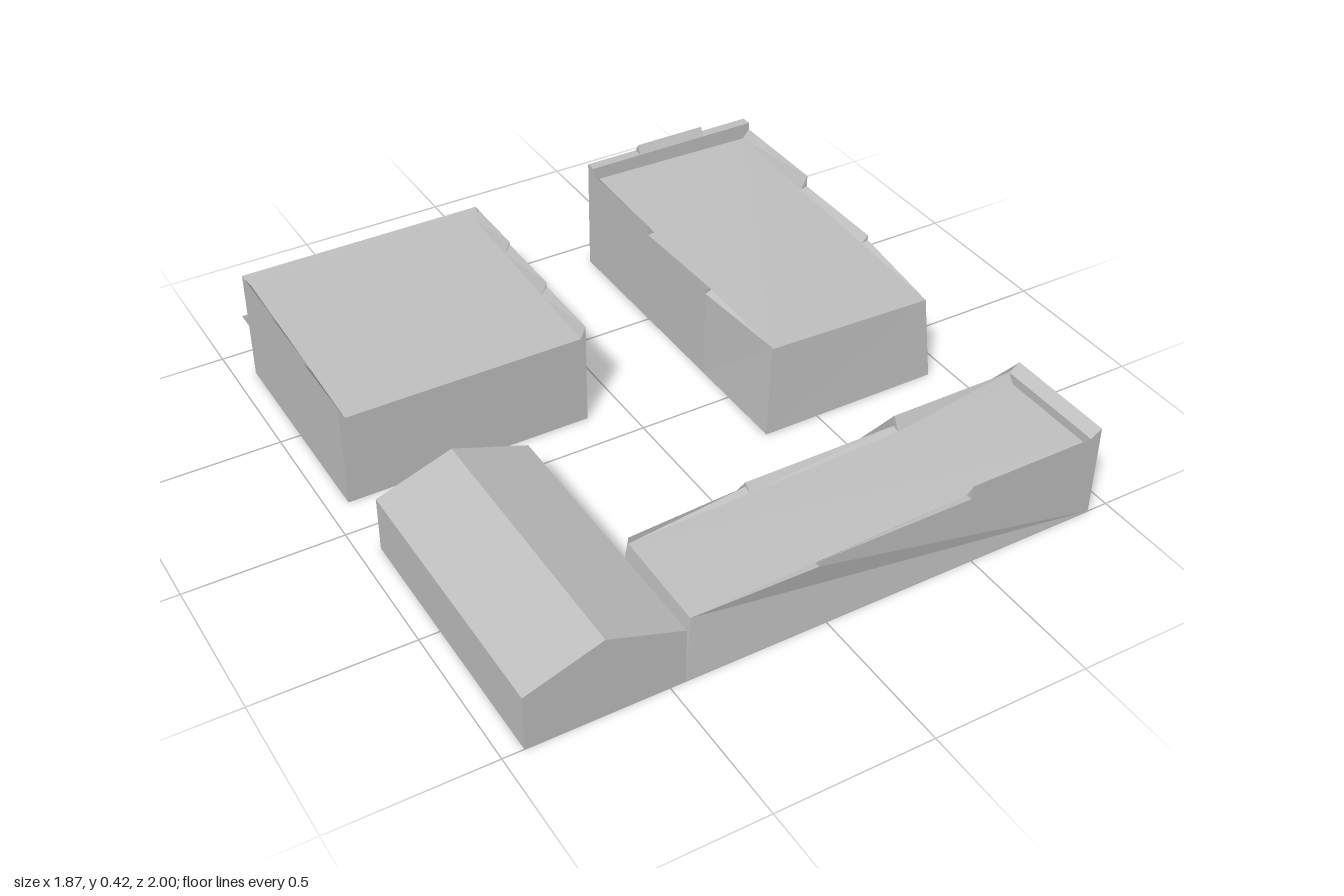
import * as THREE from 'three';

const grey = new THREE.MeshStandardMaterial({ color: 0xc0c0c0, side: THREE.DoubleSide });
grey.name = 'plainGrey';

// Collects flat faces given as fans of corner points
class Faces {
  constructor(map) { this.map = map; this.points = []; }
  add(corners, flip = false) {
    const c = flip ? [...corners].reverse() : corners;
    for (let i = 1; i < c.length - 1; i++) {
      for (const p of [c[0], c[i], c[i + 1]]) this.points.push(...this.map(p));
    }
  }
  mesh(name) {
    const g = new THREE.BufferGeometry();
    g.setAttribute('position', new THREE.Float32BufferAttribute(this.points, 3));
    g.computeVertexNormals();
    const m = new THREE.Mesh(g, grey);
    m.name = name;
    return m;
  }
}

// Block with a sloping roof inside stepped parapets, open underneath.
// Local axes: u runs from the low end to the high end, y up, v across.
function parapetBlock(name, o) {
  const { u0, u1, uIn, w, lean, inset, endTop, endInner } = o;
  const walls = new Faces(o.map), parapet = new Faces(o.map), roof = new Faces(o.map);
  const uTop = u0 + lean;
  const roofY = (s, u) => {
    const [a, b] = s > 0 ? o.roofPlus : o.roofMinus;
    return a + (b - a) * (u - uTop) / (uIn - uTop);
  };
  const rim = (s, u) => [u, roofY(s, u), s * (w - inset)];

  for (const s of [1, -1]) {
    const flip = s < 0;
    const steps = s > 0 ? o.stepsPlus : o.stepsMinus;
    const vFirst = s * (lean ? w - inset : w);
    const base0 = [u0, 0, s * w], base1 = [u1, 0, s * w];
    const tops = [];
    let u = uTop, last = null, baseU = u0;
    for (const [end, ha, hb] of steps) {
      const a = [u, ha, last ? s * w : vFirst], b = [end, hb, s * w];
      // sloping inner face and the triangle that closes each step
      parapet.add([a, b, rim(s, end), rim(s, u)], flip);
      if (last) parapet.add([last, a, rim(s, u)], flip);
      if (!o.fan) {
        const p = [baseU, 0, s * w], q = [end, 0, s * w];
        walls.add([p, q, b, a], flip);
      }
      tops.push(a, b);
      last = b; u = end; baseU = end;
    }
    // side of the high end
    const endA = [uIn, Math.max(endInner, last[1]), s * w], endB = [u1, endTop, s * w];
    if (o.fan) {
      walls.add([base1, endB, endA, ...tops.reverse(), base0], flip);
    } else {
      walls.add([[uIn, 0, s * w], base1, endB, endA], flip);
    }
    parapet.add([last, endA, [uIn, endInner, s * (w - inset)], rim(s, uIn)], flip);
    // corner of the low end
    walls.add([base0, [uTop, steps[0][1], vFirst], rim(s, uTop)], flip);
  }
  // low end wall, high end wall and its coping
  walls.add([[u0, 0, -w], [u0, 0, w], rim(1, uTop), rim(-1, uTop)]);
  walls.add([[u1, 0, w], [u1, 0, -w], [u1, endTop, -w], [u1, endTop, w]]);
  parapet.add([[uIn, endInner, -w], [uIn, endInner, w], [u1, endTop, w], [u1, endTop, -w]]);
  parapet.add([rim(-1, uIn), rim(1, uIn), [uIn, endInner, w - inset], [uIn, endInner, inset - w]]);
  roof.add([rim(-1, uTop), rim(1, uTop), rim(1, uIn), rim(-1, uIn)]);

  const g = new THREE.Group();
  g.name = name;
  g.add(walls.mesh('walls'), parapet.mesh('parapet'), roof.mesh('roof'));
  return g;
}

// Prism with a (z, y) section, running from x0 to x1
function prismX(name, section, x0, x1) {
  const shape = new THREE.Shape(section.map(([z, y]) => new THREE.Vector2(-z, y)));
  const g = new THREE.ExtrudeGeometry(shape, { depth: x1 - x0, bevelEnabled: false });
  g.rotateY(Math.PI / 2).translate(x0, 0, 0);
  const m = new THREE.Mesh(g, grey);
  m.name = name;
  return m;
}

const awning = (x0, x1, zWall, zTip, top, tip) =>
  prismX('awning', [[zWall, 0.15], [zTip, tip - 0.003], [zTip, tip], [zWall, top]], x0, x1);

// Gabled building, open underneath
function gableBuilding() {
  const f = new Faces(p => p);
  const xs = [-0.935, -0.693, -0.45], ys = [0.185, 0.27, 0.185], z0 = 0.105, z1 = 1;
  const front = [[xs[0], 0, z1], [xs[2], 0, z1], [xs[2], ys[2], z1], [xs[1], ys[1], z1], [xs[0], ys[0], z1]];
  const back = front.map(([x, y]) => [x, y, z0]);
  f.add(front);
  f.add(back, true);
  for (let i = 1; i < 5; i++) {
    const j = (i + 1) % 5;
    f.add([front[i], back[i], back[j], front[j]]);
  }
  return f.mesh('gableBuilding');
}

export function createModel() {
  const model = new THREE.Group();
  model.name = 'courtyardBuildings';

  model.add(gableBuilding());

  model.add(parapetBlock('longBuilding', {
    map: ([u, y, v]) => [u, y, v + 0.815],
    u0: -0.45, u1: 0.932, uIn: 0.895, w: 0.185, lean: 0.023, inset: 0.022,
    endTop: 0.308, endInner: 0.285, fan: true,
    roofPlus: [0.2, 0.255], roofMinus: [0.21, 0.255],
    stepsPlus: [[-0.035, 0.2, 0.22], [0.475, 0.24, 0.24], [0.895, 0.285, 0.285]],
    stepsMinus: [[-0.035, 0.232, 0.232], [0.475, 0.248, 0.248], [0.895, 0.285, 0.285]],
  }));

  const sideBuilding = parapetBlock('sideBuilding', {
    map: ([u, y, v]) => [v + 0.622, y, -u],
    u0: -0.22, u1: 0.905, uIn: 0.87, w: 0.31, lean: 0.022, inset: 0.023,
    endTop: 0.39, endInner: 0.39,
    roofPlus: [0.285, 0.335], roofMinus: [0.303, 0.345],
    stepsPlus: [[0.15, 0.285, 0.308], [0.505, 0.325, 0.325], [0.87, 0.365, 0.365]],
    stepsMinus: [[0.15, 0.308, 0.308], [0.505, 0.33, 0.33], [0.87, 0.365, 0.365]],
  });
  const crest = prismX('crest', [[-0.87, 0.389], [-0.903, 0.389], [-0.886, 0.42]], 0.495, 0.745);
  sideBuilding.add(crest, awning(0.375, 0.873, -0.905, -1, 0.187, 0.157));
  model.add(sideBuilding);

  const squareBuilding = parapetBlock('squareBuilding', {
    map: ([u, y, v]) => [v - 0.53, y, -u],
    u0: 0.13, u1: 0.875, uIn: 0.853, w: 0.404, lean: 0, inset: 0.018,
    endTop: 0.375, endInner: 0.345,
    roofPlus: [0.31, 0.345], roofMinus: [0.31, 0.345],
    stepsPlus: [[0.38, 0.35, 0.35], [0.63, 0.365, 0.365], [0.853, 0.375, 0.375]],
    stepsMinus: [[0.38, 0.35, 0.35], [0.63, 0.365, 0.365], [0.853, 0.375, 0.375]],
  });
  squareBuilding.add(
    awning(-0.92, -0.533, -0.875, -0.98, 0.203, 0.155),
    awning(-0.51, -0.143, -0.875, -1, 0.17, 0.158),
  );
  model.add(squareBuilding);

  return model;
}
